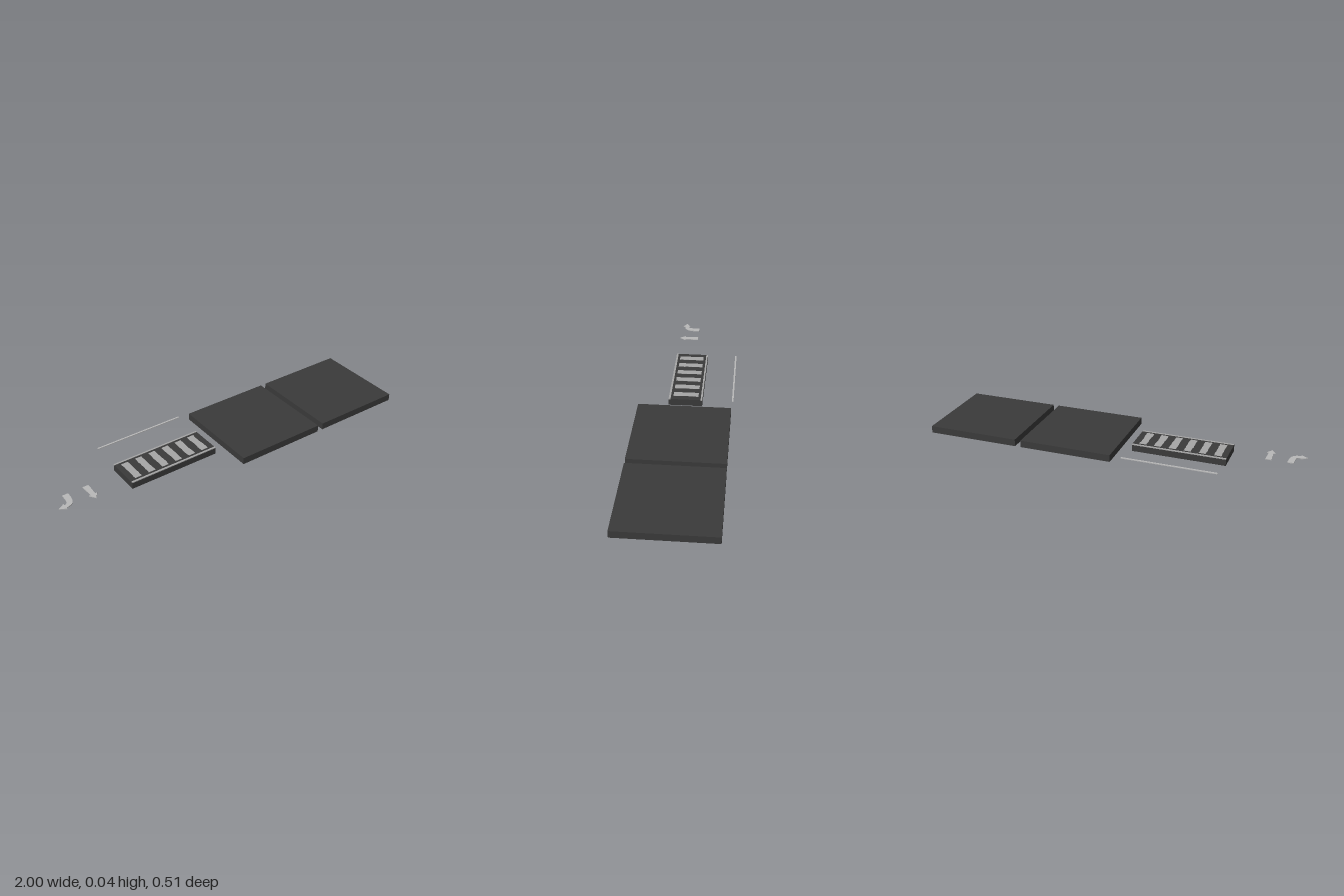
import * as THREE from 'three';

const TOP = 0.038; // height of the road surface

export function createModel() {
  const model = new THREE.Group();
  model.name = 'roadKit';
  const material = (name, color) => {
    const m = new THREE.MeshStandardMaterial({ color });
    m.name = name;
    return m;
  };
  const asphalt = material('asphalt', 0x3a3a3a);
  const wornPaint = material('wornPaint', 0xa6a6a6);
  const arrowPaint = material('arrowPaint', 0xb9b9b9);

  const add = (name, geometry, mat) => {
    const mesh = new THREE.Mesh(geometry, mat);
    mesh.name = name;
    model.add(mesh);
    return mesh;
  };
  // Box given by its limits
  const box = (name, mat, x0, x1, y0, y1, z0, z1) =>
    add(name, new THREE.BoxGeometry(x1 - x0, y1 - y0, z1 - z0), mat)
      .position.set((x0 + x1) / 2, (y0 + y1) / 2, (z0 + z1) / 2);
  // Flat plate from an outline of [x, z] points, rising from y0 to y1
  const plate = (name, mat, points, y0, y1) => {
    const shape = new THREE.Shape(points.map(([x, z]) => new THREE.Vector2(x, -z)));
    const g = new THREE.ExtrudeGeometry(shape, { depth: y1 - y0, bevelEnabled: false });
    g.rotateX(-Math.PI / 2).translate(0, y0, 0);
    add(name, g, mat);
  };

  // Plain square tiles
  box('middleTile', asphalt, -0.043, 0.462, 0, TOP, -0.247, 0.258);
  box('leftTile', asphalt, 0.495, 1, 0, TOP, -0.247, 0.258);

  // Crossing tile with its two border lines
  box('crossingTile', asphalt, -0.612, -0.107, 0, TOP, -0.086, 0.098);
  box('frontBorderLine', wornPaint, -0.612, -0.107, TOP - 0.003, TOP + 0.0015, 0.088, 0.0985);
  box('backBorderLine', wornPaint, -0.612, -0.107, TOP - 0.003, TOP + 0.0015, -0.0865, -0.077);

  // Crossing stripes with slightly worn long edges
  let seed = 7;
  const random = () => (seed = (seed * 16807) % 2147483647) / 2147483647;
  for (let i = 0; i < 6; i++) {
    const x = -0.562 + i * 0.0804;
    const right = [], left = [];
    for (let k = 0; k <= 8; k++) {
      const z = -0.063 + (0.138 * k) / 8;
      right.push([x - 0.021 + random() * 0.004, z]);
      left.unshift([x + 0.021 - random() * 0.004, z]);
    }
    plate('crossingStripe', wornPaint, [...right, ...left], TOP - 0.003, TOP + 0.0015);
  }

  // Loose marking line behind the crossing
  box('looseLine', arrowPaint, -0.612, -0.107, 0.035, 0.0395, -0.257, -0.248);

  // Straight arrow
  const ax = -0.813;
  plate('straightArrow', arrowPaint, [
    [ax - 0.016, -0.013], [ax + 0.016, -0.013], [ax + 0.012, 0.064],
    [ax + 0.023, 0.064], [ax, 0.097], [ax - 0.023, 0.064], [ax - 0.012, 0.064],
  ], 0.035, 0.0395);

  // Turning arrow: a tapering bent shaft and a sideways head
  const bend = (a, b, c, d) => new THREE.CubicBezierCurve(
    ...[a, b, c, d].map(([x, z]) => new THREE.Vector2(x, z))).getPoints(10).map((p) => [p.x, p.y]);
  const outer = bend([-0.909, -0.013], [-0.909, 0.045], [-0.918, 0.079], [-0.964, 0.079]);
  const inner = bend([-0.941, -0.013], [-0.941, 0.035], [-0.943, 0.057], [-0.964, 0.057]);
  plate('turnArrow', arrowPaint, [
    ...outer, [-0.964, 0.089], [-1, 0.068], [-0.964, 0.047], ...inner.reverse(),
  ], 0.035, 0.0395);

  return model;
}
